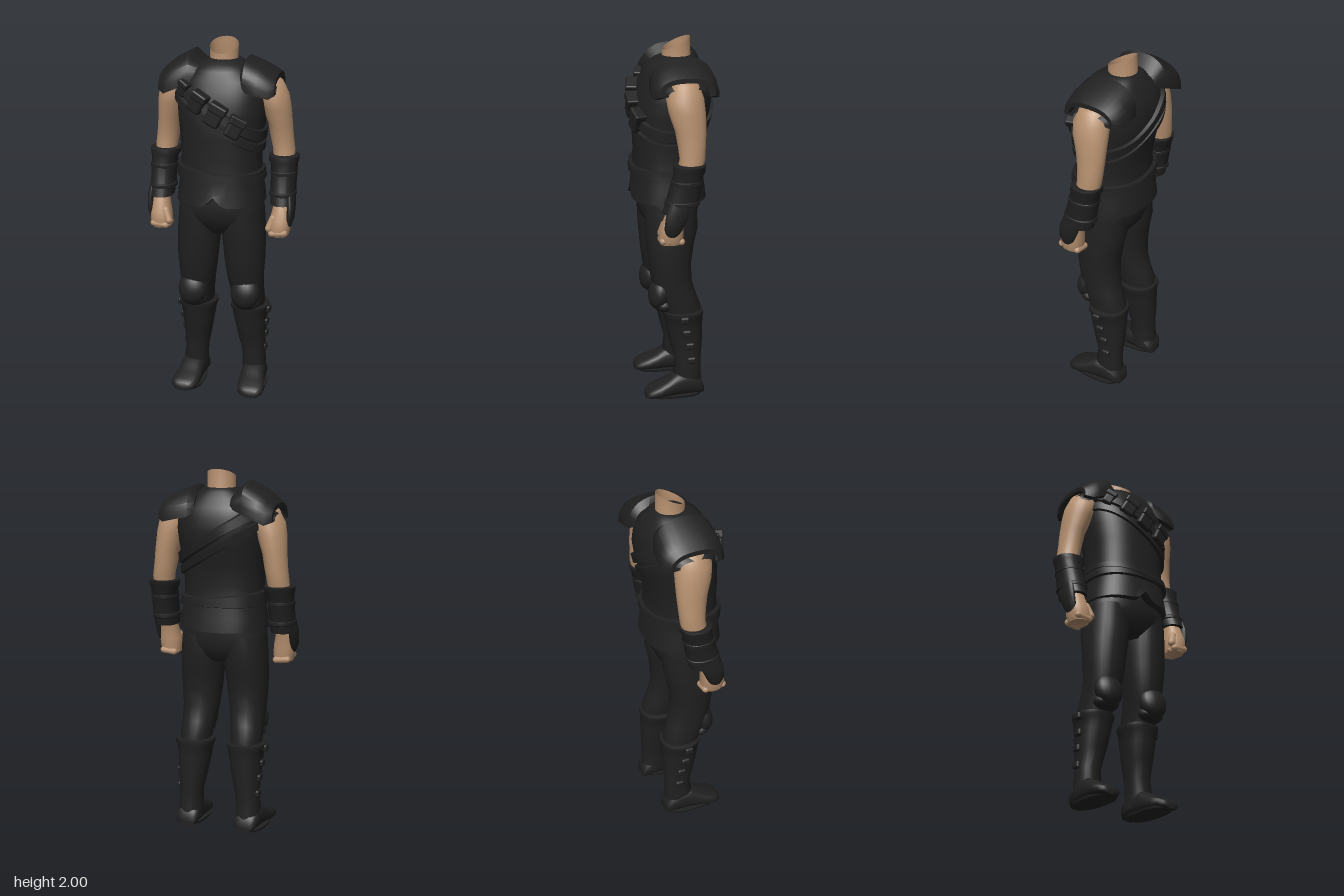
import * as THREE from 'three';
import { toCreasedNormals } from 'three/addons/utils/BufferGeometryUtils.js';
import { RoundedBoxGeometry } from 'three/addons/geometries/RoundedBoxGeometry.js';

const cloth = new THREE.MeshStandardMaterial({ color: 0x202020 });
cloth.name = 'black cloth';
const skin = new THREE.MeshStandardMaterial({ color: 0xb6906f, side: THREE.DoubleSide });
skin.name = 'skin';

const V = (x, y, z) => new THREE.Vector3(x, y, z);
const spow = (v, p) => Math.sign(v) * Math.abs(v) ** p;

// Skins a list of closed rings; always turns the faces outward
function skinRings(rings, { cap = true, loop = false, crease = 0.9 } = {}) {
  const n = rings[0].length, m = rings.length;
  const pts = rings.flat(), idx = [];
  for (let i = 0; i < (loop ? m : m - 1); i++) {
    for (let j = 0; j < n; j++) {
      const k = (j + 1) % n, a = i * n, b = ((i + 1) % m) * n;
      idx.push(a + j, b + j, a + k, a + k, b + j, b + k);
    }
  }
  if (cap && !loop) {
    [0, m - 1].forEach((r) => {
      const c = V(0, 0, 0);
      rings[r].forEach((p) => c.addScaledVector(p, 1 / n));
      pts.push(c);
      for (let j = 0; j < n; j++) {
        const a = r * n + j, b = r * n + (j + 1) % n;
        idx.push(...(r ? [a, pts.length - 1, b] : [a, b, pts.length - 1]));
      }
    });
  }
  const mid = new THREE.Box3().setFromPoints(pts).getCenter(V(0, 0, 0));
  const q = pts.map((p) => p.clone().sub(mid));
  let vol = 0;
  for (let i = 0; i < idx.length; i += 3) vol += q[idx[i]].dot(q[idx[i + 1]].clone().cross(q[idx[i + 2]]));
  if (vol < 0) idx.reverse();
  const g = new THREE.BufferGeometry().setFromPoints(pts);
  g.setIndex(idx);
  return toCreasedNormals(g, crease);
}

// Rounded cross-sections: flat (x, z) or upright (x, y)
function ring(x, y, z, rx, r2, e = 2, upright = false, n = 24) {
  return Array.from({ length: n }, (_, j) => {
    const t = (j / n) * Math.PI * 2;
    const a = rx * spow(Math.cos(t), 2 / e), b = r2 * spow(Math.sin(t), 2 / e);
    return upright ? V(x + a, y + b, z) : V(x + a, y, z + b);
  });
}
// Rows are [x, y, z, rx, rz]
const loft = (rows, e, opt) => skinRings(rows.map((r) => ring(...r, e)), opt);

// Torso profile rows: y, half width, front z, back z
const TORSO = [
  [1.13, .242, .215, -.2], [1.2, .235, .205, -.192], [1.27, .222, .2, -.18], [1.38, .218, .19, -.17],
  [1.5, .225, .195, -.19], [1.6, .238, .19, -.215], [1.68, .245, .18, -.225], [1.75, .24, .16, -.215],
  [1.8, .225, .14, -.2], [1.85, .17, .12, -.165], [1.88, .125, .08, -.145], [1.9, .086, .042, -.124],
];
const E = 2.4;
function torsoAt(y) {
  let i = 0;
  while (i < TORSO.length - 2 && y > TORSO[i + 1][0]) i++;
  const a = TORSO[i], b = TORSO[i + 1];
  const t = THREE.MathUtils.clamp((y - a[0]) / (b[0] - a[0]), 0, 1);
  return a.map((v, k) => v + (b[k] - v) * t);
}
function onTorso(t, y, off = 0) {
  const [, rx, f, b] = torsoAt(y);
  return V((rx + off) * spow(Math.cos(t), 2 / E), y, (f + b) / 2 + ((f - b) / 2 + off) * spow(Math.sin(t), 2 / E));
}

// Strap wrapped round the torso, on a slope
function strap(y0, slope, w, off) {
  const rings = [];
  for (let j = 0; j < 56; j++) {
    const t = (j / 56) * Math.PI * 2;
    let y = y0;
    for (let k = 0; k < 12; k++) y = y0 + slope * onTorso(t, y).x;
    rings.push([[.5, -.012], [.36, off], [-.36, off], [-.5, -.012]].map(([h, o]) => onTorso(t, y + h * w, o)));
  }
  return skinRings(rings, { loop: true });
}

// Arched shoulder plate; rows are [x, top y, edge y, half depth]
function shoulderPlate(rows) {
  const arc = ([x, top, low, rz], inset) => Array.from({ length: 17 }, (_, j) => {
    const t = (j / 16) * Math.PI;
    return V(x, low + (top - low - inset) * spow(Math.sin(t), .8), -.045 + (rz - inset) * spow(Math.cos(t), .8));
  });
  return skinRings(rows.map((r) => [...arc(r, 0), ...arc(r, .03).reverse()]), { cap: false, loop: true, crease: .7 });
}
// Adds an inner return so the plate has thick ends
const plateRows = (rows) => [...rows, ...rows.slice().reverse().map(([x, t, l, r]) => [x, t - .025, l + .002, r - .02])];

export function createModel() {
  const model = new THREE.Group();
  const add = (name, geo, mat = cloth, parent = model) => {
    const mesh = new THREE.Mesh(geo, mat);
    mesh.name = name;
    parent.add(mesh);
    return mesh;
  };

  // Vest, with a notch at the front of the hem
  const vestRings = TORSO.map(([y, rx, f, b], i) => {
    const r = ring(0, y, (f + b) / 2, rx, (f - b) / 2, E, false, 48);
    if (i === 0) r.forEach((p) => { if (p.z > 0) p.y += .055 * Math.max(0, 1 - Math.abs(p.x) / .055); });
    return r;
  });
  add('vest', skinRings(vestRings));
  add('neck', loft([[0, 1.85, -.045, .085, .085], [0, 1.9, -.043, .076, .077], [0, 1.965, -.042, .078, .075]], 2, { cap: false }), skin);
  const neck = model.getObjectByName('neck').geometry.attributes.position;
  for (let i = 0; i < neck.count; i++) {
    if (neck.getY(i) > 1.95) neck.setY(i, 1.965 - (neck.getZ(i) + .042) * .46);
  }

  // Belts and the double shoulder strap
  add('belt', strap(1.29, 0, .06, .016));
  add('crossBelt', strap(1.3, -.12, .04, .02));
  add('upperStrap', strap(1.645, -.63, .075, .018));
  add('lowerStrap', strap(1.57, -.6, .055, .016));

  // Pouches along the strap
  [[-.175, .06, .09, .035], [-.085, .085, .115, .055], [.01, .09, .125, .06], [.108, .085, .12, .055]].forEach(([x, w, h, d]) => {
    const y = 1.645 - .63 * x, t = Math.acos(spow(x / torsoAt(y)[1], E / 2));
    const pouch = new THREE.Group();
    pouch.name = 'pouch';
    pouch.position.copy(onTorso(t, y, .014));
    pouch.rotation.set(0, x * 2.6, -.5);
    add('pouchBody', new RoundedBoxGeometry(w, h, d, 2, .015), cloth, pouch);
    add('pouchFlap', new RoundedBoxGeometry(w + .008, h * .4, d + .012, 2, .01), cloth, pouch).position.y = h * .3;
    model.add(pouch);
  });

  // Shoulder plates, the right one larger
  add('rightShoulderPlate', shoulderPlate(plateRows([
    [-.095, 1.875, 1.8, .135], [-.165, 1.94, 1.775, .165], [-.25, 1.895, 1.74, .175], [-.295, 1.86, 1.72, .17], [-.33, 1.825, 1.735, .14]])));
  add('leftShoulderPlate', shoulderPlate(plateRows([
    [.105, 1.875, 1.77, .15], [.135, 1.912, 1.75, .175], [.21, 1.885, 1.735, .18], [.275, 1.85, 1.72, .175], [.305, 1.83, 1.735, .15]])));

  // Hips
  add('hips', loft([[0, .95, .005, .1, .1], [0, .985, .005, .2, .13], [0, 1.04, .01, .238, .155], [0, 1.1, .012, .236, .165], [0, 1.17, .01, .22, .16]], 2.3));

  for (const s of [1, -1]) {
    const side = s > 0 ? 'left' : 'right';
    const M = (rows) => rows.map(([x, ...r]) => [s * x, ...r]);

    // Arm, forearm guard and fist
    add(side + 'Arm', loft(M([[.235, 1.82, -.04, .04, .04], [.25, 1.79, -.04, .072, .075], [.268, 1.72, -.038, .088, .1],
      [.288, 1.65, -.045, .08, .098], [.308, 1.56, -.06, .066, .084], [.318, 1.48, -.064, .063, .074],
      [.33, 1.41, -.066, .06, .068], [.335, 1.3, -.04, .058, .066]])), skin);
    add(side + 'Bracer', loft(M([[.335, 1.385, -.052, .07, .072], [.334, 1.38, -.052, .084, .084], [.334, 1.35, -.047, .08, .083],
      [.337, 1.335, -.044, .072, .078], [.339, 1.2, -.015, .068, .088], [.341, 1.125, .005, .064, .09], [.341, 1.12, .006, .05, .07]]), 2.3));
    for (const [y, z, r] of [[1.29, -.034, .081], [1.18, -.011, .09]]) {
      add(side + 'BracerStrap', loft(M([[.338, y - .014, z, .066, r - .004], [.338, y - .008, z, .074, r + .004],
        [.338, y + .008, z, .074, r + .004], [.338, y + .014, z, .066, r - .004]]), 2.3));
    }
    add(side + 'HandGuard', loft(M([[.385, 1.19, 0, .022, .06], [.393, 1.12, .025, .022, .062], [.39, 1.05, .045, .022, .05], [.38, 1.005, .05, .016, .03]])));
    add(side + 'Hand', loft(M([[.34, 1.15, .015, .045, .05], [.34, 1.1, .03, .048, .055], [.338, 1.04, .045, .06, .062],
      [.334, .99, .05, .06, .066], [.332, .955, .05, .05, .058]]), 2.3), skin);
    for (let i = 0; i < 4; i++) {
      const finger = add(side + 'Finger', new THREE.CapsuleGeometry(.019, .075 - .006 * Math.abs(i - 2), 4, 10), skin);
      finger.position.set(s * .333, .966 + .003 * i, -.002 + .033 * i);
      finger.rotation.z = Math.PI / 2 + s * .1;
    }
    const thumb = add(side + 'Thumb', new THREE.CapsuleGeometry(.021, .06, 4, 10), skin);
    thumb.position.set(s * .293, 1.025, .085);
    thumb.rotation.set(-.25, 0, -s * .35);

    // Trouser leg
    add(side + 'Leg', loft(M([[.12, 1.1, .01, .115, .145], [.124, .97, .008, .12, .145], [.13, .88, .015, .117, .13],
      [.134, .78, .017, .111, .118], [.137, .68, .01, .1, .112], [.142, .6, -.012, .092, .112], [.148, .52, -.045, .086, .108], [.15, .45, -.055, .08, .095]]), 2.2));

    // Knee pad
    const knee = add(side + 'KneePad', new THREE.SphereGeometry(1, 20, 14));
    knee.scale.set(.083, .095, .06);
    knee.position.set(s * .15, .605, .078);
    knee.rotation.x = -.2;
    const lip = add(side + 'KneePadLip', new THREE.SphereGeometry(1, 20, 12));
    lip.scale.set(.076, .045, .055);
    lip.position.set(s * .15, .54, .058);

    // Boot shaft and foot
    add(side + 'Boot', loft(M([[.168, .04, -.09, .062, .068], [.172, .12, -.075, .067, .078], [.166, .2, -.08, .065, .072],
      [.158, .3, -.07, .079, .09], [.152, .4, -.06, .092, .102], [.15, .46, -.057, .1, .107], [.15, .475, -.056, .109, .111],
      [.15, .495, -.055, .109, .112], [.15, .5, -.055, .09, .095]]), 2.2));
    const foot = [[.17, -.165, .045, .05], [.172, -.15, .062, .09], [.175, -.08, .068, .14], [.18, -.01, .069, .132], [.184, .04, .072, .1],
      [.19, .09, .078, .078], [.193, .135, .072, .06], [.195, .16, .052, .045], [.195, .168, .03, .03]];
    add(side + 'Foot', skinRings(foot.map(([x, z, rx, h]) => ring(s * x, h / 2, z, rx, h / 2, 2.6, true))));
    add(side + 'Sole', loft(M([[.18, 0, .0, .075, .15], [.18, .014, .0, .079, .155]]), 2.6));

    // Boot buckles down the outer side
    [[.47, .255, -.045], [.385, .24, -.06], [.305, .232, -.08], [.215, .226, -.09]].forEach(([y, x, z]) => {
      add(side + 'Buckle', new RoundedBoxGeometry(.035, .04, .05, 2, .012)).position.set(s * x, y, z);
    });
  }
  return model;
}
